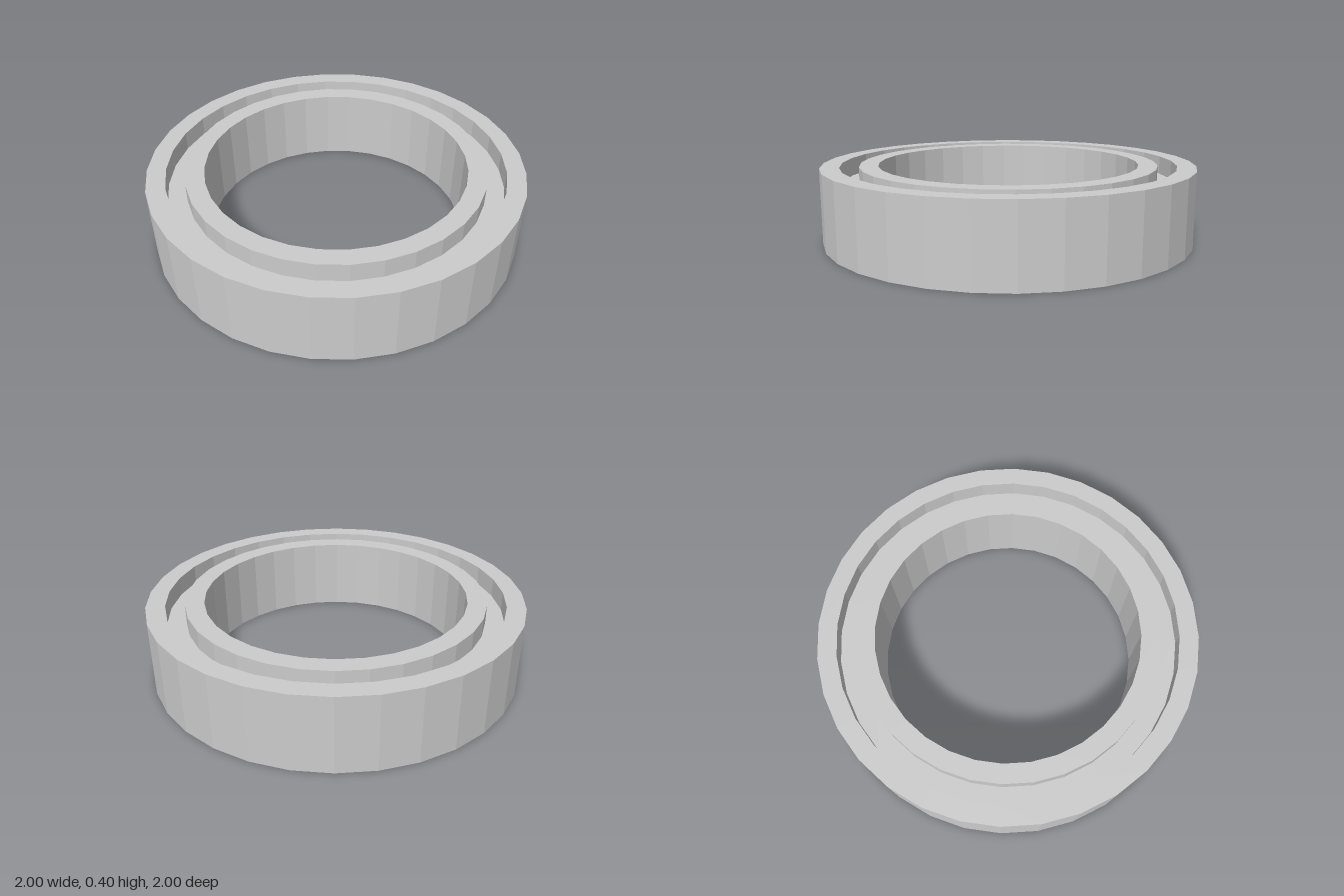
import * as THREE from 'three';

export function createModel() {
  const group = new THREE.Group();
  group.name = 'groovedRing';

  const height = 0.4, grooveFloor = 0.3;

  // Closed cross-section: two rims with a shallow groove between them
  const profile = [
    [0.7, 0], [1, 0], [1, height], [0.9, height],
    [0.9, grooveFloor], [0.8, grooveFloor],
    [0.8, height], [0.7, height], [0.7, 0],
  ].map(([r, y]) => new THREE.Vector2(r, y));

  // Faceted ring body
  const ring = new THREE.Mesh(
    new THREE.LatheGeometry(profile, 32),
    new THREE.MeshStandardMaterial({ color: 0xcccccc, flatShading: true })
  );
  ring.name = 'ringBody';
  group.add(ring);

  return group;
}
